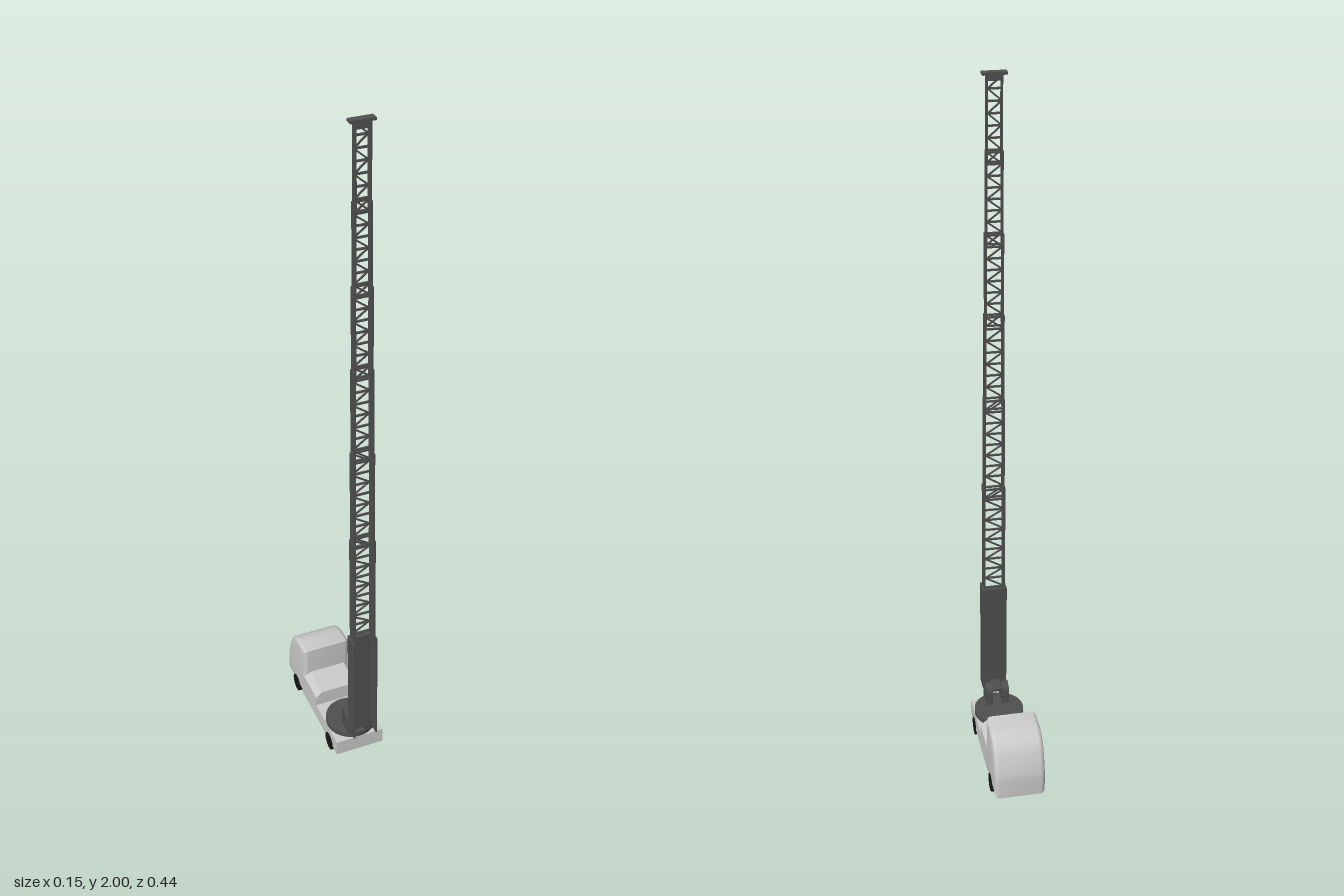
import * as THREE from 'three';
import { toCreasedNormals } from 'three/addons/utils/BufferGeometryUtils.js';

const grey = new THREE.MeshStandardMaterial({ color: 0xcccccc });
const dark = new THREE.MeshStandardMaterial({ color: 0x505050 });
const black = new THREE.MeshStandardMaterial({ color: 0x161616 });

function add(parent, name, geometry, material, x = 0, y = 0, z = 0) {
  const mesh = new THREE.Mesh(geometry, material);
  mesh.name = name;
  mesh.position.set(x, y, z);
  parent.add(mesh);
  return mesh;
}

// Box given by its limits on each axis
function box(parent, name, material, [x0, x1], [y0, y1], [z0, z1]) {
  return add(parent, name, new THREE.BoxGeometry(x1 - x0, y1 - y0, z1 - z0), material,
    (x0 + x1) / 2, (y0 + y1) / 2, (z0 + z1) / 2);
}

// Side profile drawn as (-z, y), extruded across x and centred on x
function sideExtrude(shape, width, bevel = 0) {
  const geo = new THREE.ExtrudeGeometry(shape, {
    depth: width - 2 * bevel, bevelEnabled: bevel > 0, bevelSize: bevel,
    bevelThickness: bevel, bevelSegments: 4, curveSegments: 8,
  });
  geo.translate(0, 0, -(width - 2 * bevel) / 2).rotateY(Math.PI / 2);
  return toCreasedNormals(geo, 0.6);
}

function buildTruck(group) {
  // Cab with rounded edges and a sloping windscreen
  const b = 0.013;
  const cab = new THREE.Shape();
  cab.moveTo(0.079 + b, 0.028 + b);
  cab.lineTo(0.223 - b, 0.028 + b);
  cab.lineTo(0.223 - b, 0.085);
  cab.quadraticCurveTo(0.208, 0.115, 0.186, 0.162);
  cab.quadraticCurveTo(0.17, 0.19, 0.135, 0.196);
  cab.lineTo(0.079 + b, 0.21 - b);
  cab.closePath();
  add(group, 'cab', sideExtrude(cab, 0.146, b), grey);

  // Chassis, deck and rear body
  box(group, 'chassisBeam', grey, [-0.036, 0.036], [0.03, 0.064], [-0.1, 0.18]);
  box(group, 'deck', grey, [-0.073, 0.073], [0.062, 0.077], [-0.1, 0.18]);
  for (const s of [-1, 1]) {
    box(group, 'sideSkirt', grey, [s * 0.066 - 0.007, s * 0.066 + 0.007], [0.028, 0.064], [-0.1, 0.18]);
  }
  box(group, 'rearPanel', grey, [-0.073, 0.073], [0.028, 0.064], [0.155, 0.18]);

  // Equipment locker with chamfered top edges
  const locker = new THREE.Shape([
    [-0.073, 0.075], [0.073, 0.075], [0.073, 0.108], [0.055, 0.124], [-0.055, 0.124], [-0.073, 0.108],
  ].map(([x, y]) => new THREE.Vector2(x, y)));
  add(group, 'locker', new THREE.ExtrudeGeometry(locker, { depth: 0.105, bevelEnabled: false }), grey, 0, 0, -0.09);

  // Wheels
  const wheel = new THREE.CylinderGeometry(0.027, 0.027, 0.037, 24).rotateZ(Math.PI / 2);
  for (const x of [-0.056, 0.056]) {
    for (const z of [0.12, -0.147]) add(group, 'wheel', wheel, black, x, 0.027, z);
  }
}

function buildTurntable(group) {
  add(group, 'turntable', new THREE.CylinderGeometry(0.073, 0.073, 0.016, 48), dark, 0, 0.087, 0.108);
  add(group, 'turntableHub', new THREE.CylinderGeometry(0.055, 0.055, 0.008, 32), dark, 0, 0.077, 0.108);

  // Pivot brackets with rounded tops
  const bracket = new THREE.Shape();
  bracket.moveTo(-0.178, 0.093);
  bracket.lineTo(-0.124, 0.093);
  bracket.lineTo(-0.124, 0.139);
  bracket.absarc(-0.145, 0.139, 0.021, 0, Math.PI, false);
  bracket.lineTo(-0.178, 0.125);
  bracket.closePath();
  const geo = sideExtrude(bracket, 0.02);
  for (const x of [-0.024, 0.024]) add(group, 'pivotBracket', geo, dark, x);
  add(group, 'pivotPin', new THREE.CylinderGeometry(0.01, 0.01, 0.072, 20).rotateZ(Math.PI / 2), dark, 0, 0.139, 0.145);
  box(group, 'pivotLink', dark, [-0.013, 0.013], [0.13, 0.15], [0.14, 0.185]);
}

// Thin bar between two points in the xy plane
function bar(parent, name, x0, y0, x1, y1, z, t) {
  const mesh = add(parent, name, new THREE.BoxGeometry(Math.hypot(x1 - x0, y1 - y0), t, t), dark,
    (x0 + x1) / 2, (y0 + y1) / 2, z);
  mesh.rotation.z = Math.atan2(y1 - y0, x1 - x0);
}

function buildLadder(group) {
  const ladder = new THREE.Group();
  ladder.name = 'ladder';
  ladder.position.set(0, 0.12, 0.2);
  ladder.rotation.x = -0.0277;
  group.add(ladder);

  // Telescoping sections: [start, end, half width, depth]
  const sections = [
    [0, 0.36, 0.036, 0.044], [0.33, 0.70, 0.031, 0.036], [0.67, 0.98, 0.029, 0.032],
    [0.95, 1.23, 0.027, 0.028], [1.20, 1.46, 0.025, 0.025], [1.43, 1.68, 0.023, 0.021],
    [1.65, 1.873, 0.021, 0.018],
  ];
  sections.forEach(([y0, y1, w, d], i) => {
    const part = new THREE.Group();
    part.name = 'ladderSection' + (i + 1);
    ladder.add(part);
    for (const s of [-1, 1]) {
      const x = s * (w - 0.002);
      box(part, 'sideRail', dark, [x - 0.002, x + 0.002], [y0, y1], [-d / 2, d / 2]);
    }
    const z = -d / 2 + 0.0025;
    if (i === 0) {
      // The base section has a closed back
      box(part, 'backPanel', dark, [-w, w], [y0, y1], [z - 0.0025, z + 0.006]);
      box(part, 'topCollar', dark, [-w, w], [y1 - 0.015, y1], [z, z + 0.016]);
      return;
    }
    // Rungs and zigzag braces
    const n = Math.round((y1 - y0) / 0.033), step = (y1 - y0 - 0.005) / n, a = w - 0.003;
    for (let k = 0; k <= n; k++) {
      const y = y0 + 0.0025 + k * step;
      bar(part, 'rung', -a, y, a, y, z, 0.005);
      const s = k % 2 ? 1 : -1;
      if (k < n) bar(part, 'brace', -a * s, y, a * s, y + step, z, 0.004);
    }
  });

  // Head plate at the tip
  box(ladder, 'headNeck', dark, [-0.021, 0.021], [1.858, 1.875], [-0.009, 0.009]);
  box(ladder, 'headPlate', dark, [-0.032, 0.032], [1.873, 1.88], [-0.013, 0.009]);
}

export function createModel() {
  const model = new THREE.Group();
  model.name = 'ladderTruck';
  buildTruck(model);
  buildTurntable(model);
  buildLadder(model);
  return model;
}
